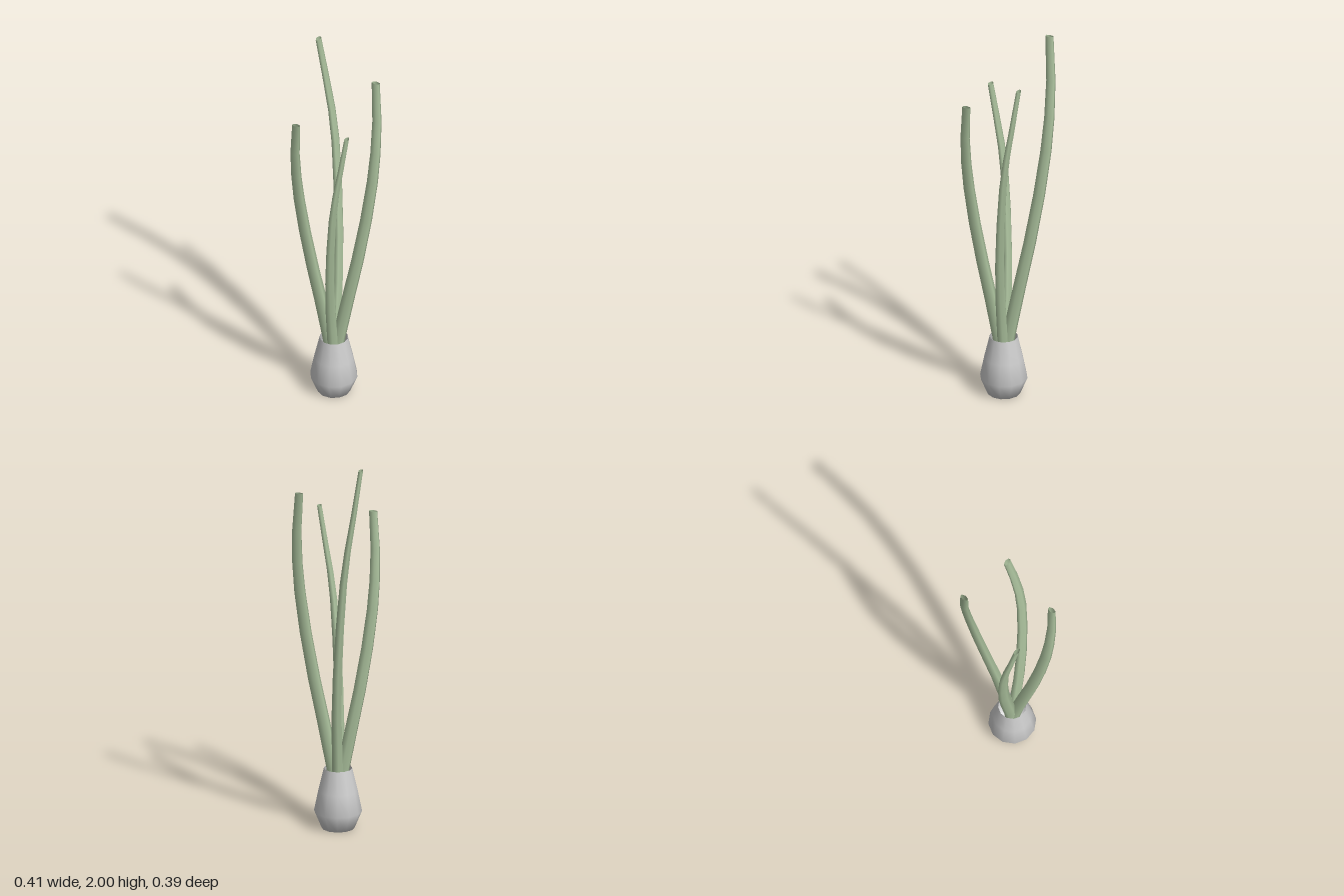
import * as THREE from 'three';
import { mergeVertices } from 'three/addons/utils/BufferGeometryUtils.js';

const BASE_Y = 0.15;

// Centre line of a leaf (x, height above the leaf base, z) and its half width / half thickness
const SPINE = new THREE.CatmullRomCurve3([
  [0, 0, 0], [-0.025, 0.18, 0.012], [-0.072, 0.45, 0.038], [-0.105, 0.67, 0.067],
  [-0.132, 0.95, 0.103], [-0.137, 1.12, 0.126], [-0.127, 1.3, 0.153], [-0.1, 1.52, 0.175],
].map((p) => new THREE.Vector3(...p)));
const RINGS = 8;

// Hollow leaf: an open cylinder swept along the spine, oval and tapering to a cut tip
function leafGeometry(scale) {
  const geo = new THREE.CylinderGeometry(1, 1, 1, 6, RINGS, true);
  const pos = geo.attributes.position;
  const tilt = 0.3;
  const c = Math.cos(tilt), s = Math.sin(tilt);
  for (let i = 0; i < pos.count; i++) {
    const t = pos.getY(i) + 0.5;
    const p = SPINE.getPoint(t).multiplyScalar(scale);
    const u = pos.getX(i) * THREE.MathUtils.lerp(0.036, 0.023, t * t);
    const v = pos.getZ(i) * THREE.MathUtils.lerp(0.031, 0.012, t);
    pos.setXYZ(i, p.x + u * c + v * s, p.y, p.z - u * s + v * c);
  }
  geo.deleteAttribute('uv');
  geo.deleteAttribute('normal');
  const welded = mergeVertices(geo, 1e-5);
  welded.computeVertexNormals();
  return welded;
}

export function createModel() {
  const plant = new THREE.Group();
  plant.name = 'springOnion';
  const white = new THREE.MeshStandardMaterial({ color: 0xcccccc, side: THREE.DoubleSide });
  const green = new THREE.MeshStandardMaterial({ color: 0xaac09c, side: THREE.DoubleSide });

  // Bulb, open at the neck
  const profile = [[0, 0], [0.085, 0], [0.122, 0.09], [0.1, 0.2], [0.072, 0.32]]
    .map(([r, y]) => new THREE.Vector2(r, y));
  const bulb = new THREE.Mesh(new THREE.LatheGeometry(profile, 12), white);
  bulb.name = 'bulb';
  plant.add(bulb);

  // Four leaves, a quarter turn apart, of different sizes
  const leaves = [
    ['frontRightLeaf', 0, 1],
    ['backRightLeaf', -Math.PI / 2, 1.217],
    ['backLeftLeaf', Math.PI, 1.11],
    ['frontLeftLeaf', Math.PI / 2, 1],
  ];
  for (const [name, turn, scale] of leaves) {
    const leaf = new THREE.Mesh(leafGeometry(scale), green);
    leaf.name = name;
    leaf.position.y = BASE_Y;
    leaf.rotation.y = turn;
    plant.add(leaf);
  }

  plant.position.set(0.02, 0, 0.01);
  const model = new THREE.Group();
  model.add(plant);
  return model;
}
